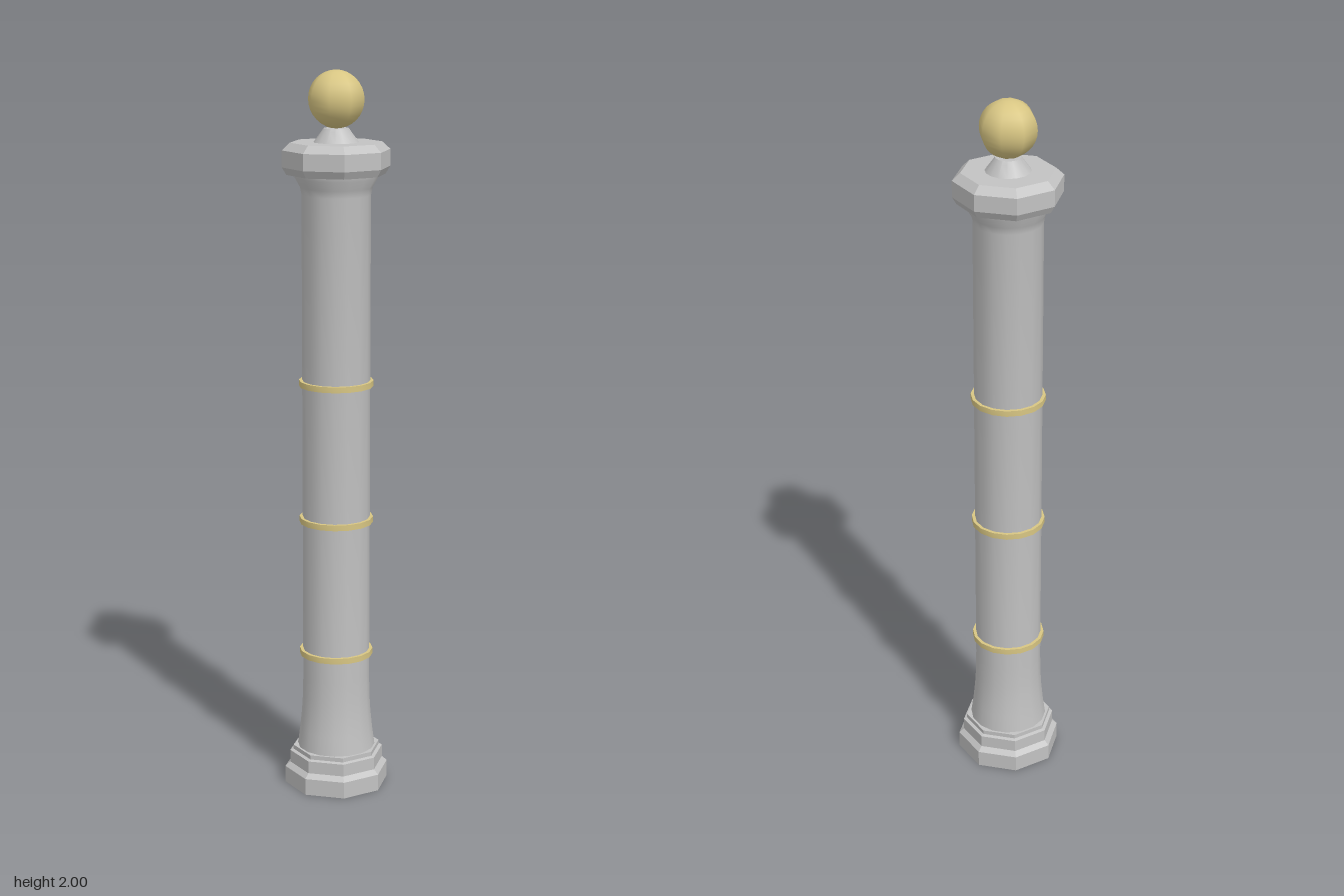
import * as THREE from 'three';
import { toCreasedNormals } from 'three/addons/utils/BufferGeometryUtils.js';

const stone = new THREE.MeshStandardMaterial({ color: 0xc2c2c2 });
stone.name = 'stone grey';
const gold = new THREE.MeshStandardMaterial({ color: 0xd8c683 });
gold.name = 'pale gold';

// Turned part from [radius, height] pairs, listed bottom to top
function turned(name, profile, sides, material, crease) {
  const points = profile.map(([r, y]) => new THREE.Vector2(r, y));
  const geometry = new THREE.LatheGeometry(points, sides, Math.PI / sides);
  const mesh = new THREE.Mesh(toCreasedNormals(geometry, crease), material);
  mesh.name = name;
  return mesh;
}

// Eight-sided part measured to its flats, with hard edges
function octagonal(name, profile) {
  const scale = 1 / Math.cos(Math.PI / 8);
  return turned(name, profile.map(([r, y]) => [r * scale, y]), 8, stone, 0.1);
}

export function createModel() {
  const model = new THREE.Group();
  model.name = 'column';

  // Stepped plinth
  model.add(octagonal('plinth', [
    [0, 0], [0.135, 0], [0.135, 0.047], [0.122, 0.06], [0.122, 0.095],
    [0.113, 0.098], [0.113, 0.11], [0, 0.11],
  ]));

  // Round shaft, flared at the foot and the neck
  model.add(turned('shaft', [
    [0.109, 0.108], [0.102, 0.16], [0.097, 0.21], [0.094, 0.26], [0.093, 0.32],
    [0.093, 1.67], [0.097, 1.69], [0.111, 1.715], [0.113, 1.73],
  ], 16, stone, 0.6));

  // Octagonal capital with a chamfered top edge
  model.add(octagonal('capital', [
    [0, 1.725], [0.124, 1.725], [0.135, 1.745], [0.135, 1.79], [0.115, 1.81], [0, 1.81],
  ]));

  // Gold bands spaced along the shaft
  for (const y of [0.388, 0.772, 1.157]) {
    model.add(turned('band', [
      [0.09, y - 0.008], [0.102, y - 0.008], [0.102, y + 0.008], [0.09, y + 0.008],
    ], 16, gold, 0.6));
  }

  // Pedestal and ball on top
  model.add(turned('finialPedestal', [
    [0.062, 1.808], [0.04, 1.838], [0.034, 1.847], [0, 1.847],
  ], 16, stone, 0.6));
  const ball = new THREE.Mesh(new THREE.SphereGeometry(0.077, 8, 16), gold);
  ball.name = 'finialBall';
  ball.position.y = 1.923;
  model.add(ball);

  return model;
}
